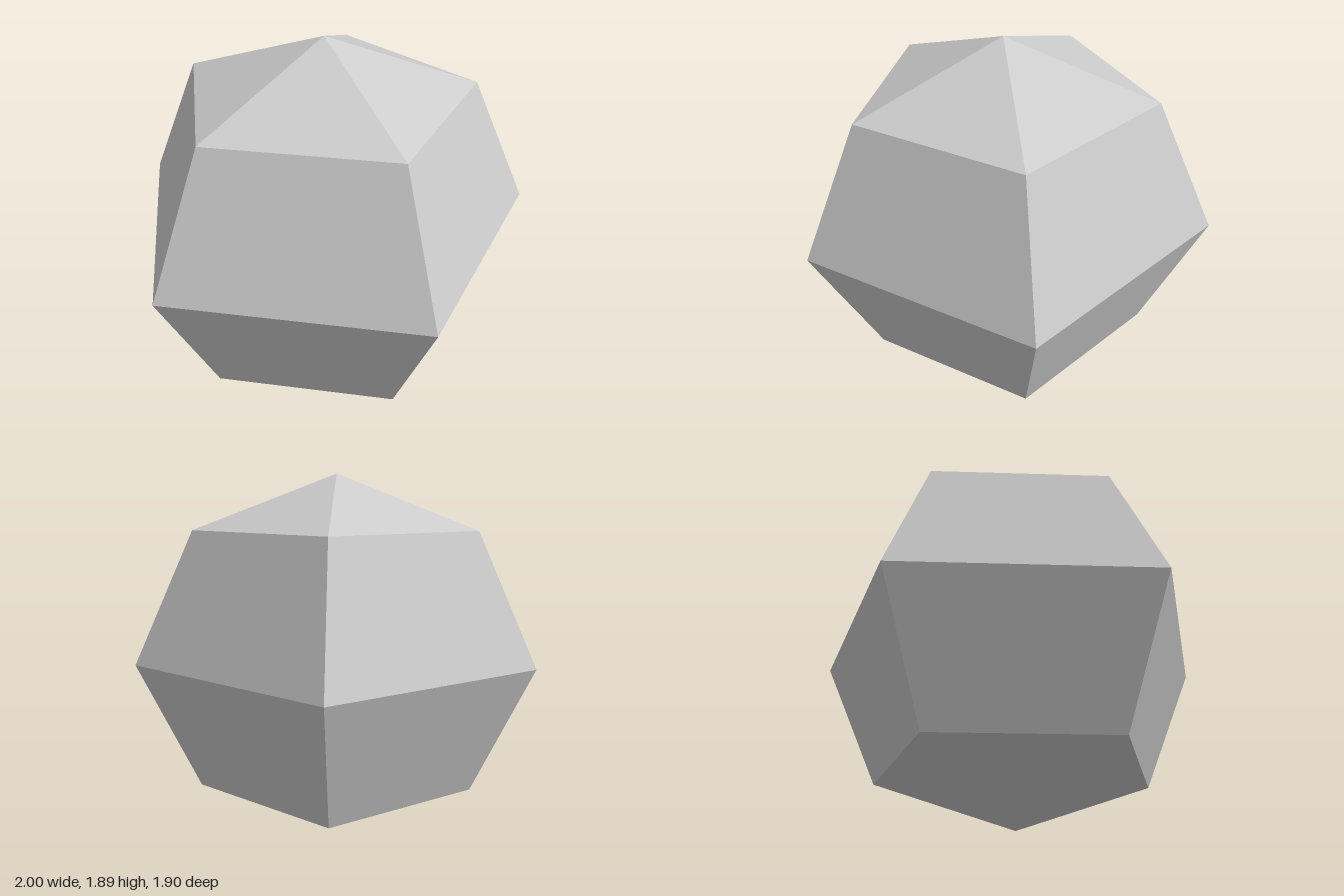
import * as THREE from 'three';

export function createModel() {
  const group = new THREE.Group();
  group.name = 'facetedGem';

  const stoneGrey = new THREE.MeshStandardMaterial({ color: 0xcccccc });
  stoneGrey.name = 'stoneGrey';

  // Five-sided, four-band ball, slightly squashed, with one corner pointing back
  const radius = 1 / Math.sin(Math.PI * 2 / 5);
  const squash = 0.9;
  const ball = new THREE.SphereGeometry(radius, 5, 4, -Math.PI / 2);
  ball.scale(1, squash, 1);
  ball.translate(0, radius * squash, radius * (1 - Math.cos(Math.PI / 5)) / 2);

  // Separate the faces so every facet is flat
  const facets = ball.toNonIndexed();
  facets.computeVertexNormals();

  const body = new THREE.Mesh(facets, stoneGrey);
  body.name = 'facetedBody';
  group.add(body);
  return group;
}
